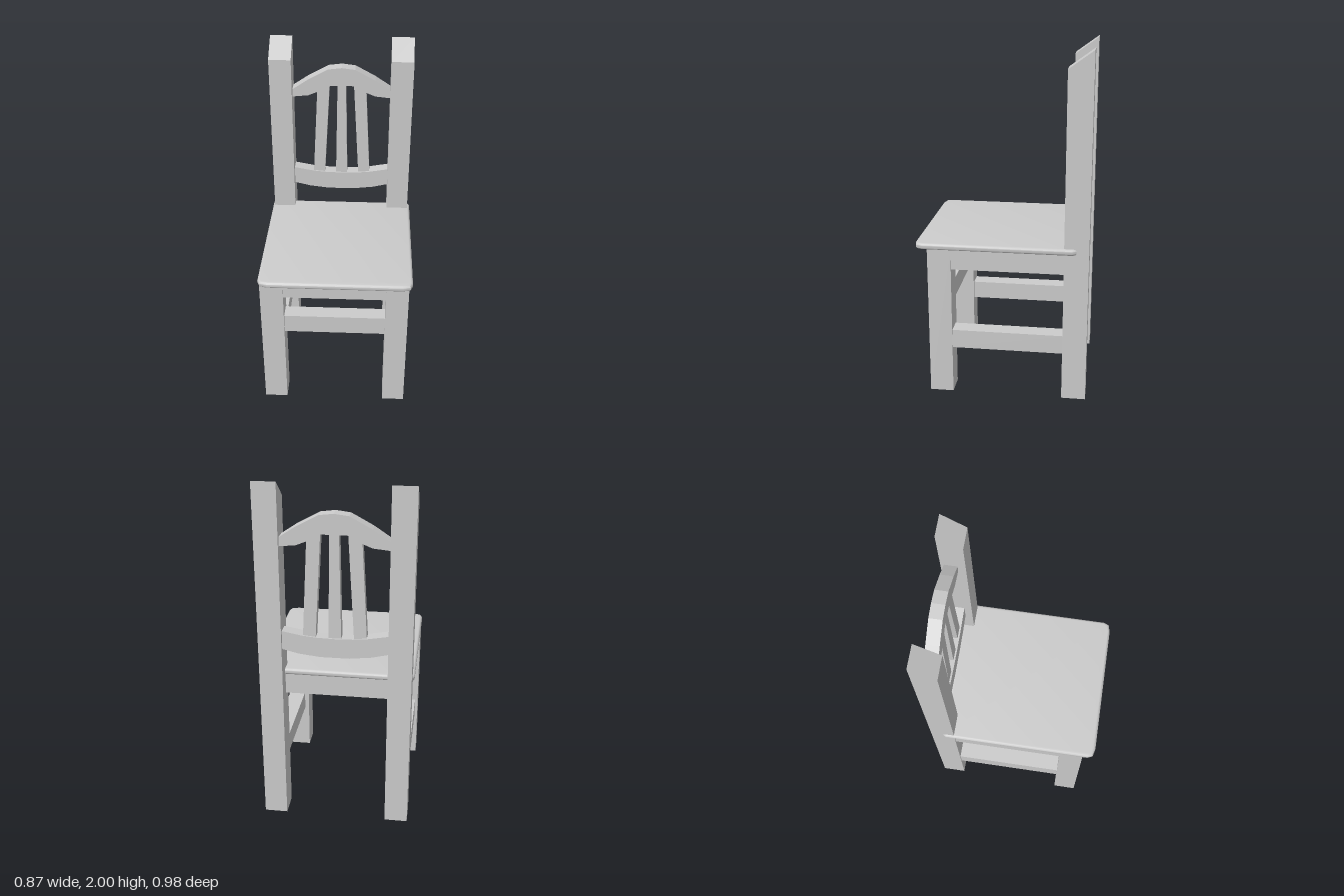
import * as THREE from 'three';
import { toCreasedNormals } from 'three/addons/utils/BufferGeometryUtils.js';

const material = new THREE.MeshStandardMaterial({ color: 0xcccccc, flatShading: true });
const smoothMaterial = new THREE.MeshStandardMaterial({ color: 0xcccccc });

export function createModel() {
  const chair = new THREE.Group();
  chair.name = 'chair';

  const add = (name, geometry, mat = material) => {
    const mesh = new THREE.Mesh(geometry, mat);
    mesh.name = name;
    chair.add(mesh);
    return mesh;
  };
  // Box given by its extents on each axis
  const box = (name, [x0, x1], [y0, y1], [z0, z1]) =>
    add(name, new THREE.BoxGeometry(x1 - x0, y1 - y0, z1 - z0))
      .position.set((x0 + x1) / 2, (y0 + y1) / 2, (z0 + z1) / 2);
  const outline = (points) => new THREE.Shape(points.map(([x, y]) => new THREE.Vector2(x, y)));
  // Outline in the xy plane, given depth from z0 to z1
  const board = (name, points, z0, z1) =>
    add(name, new THREE.ExtrudeGeometry(outline(points), { depth: z1 - z0, bevelEnabled: false }))
      .position.z = z0;
  // Completes a left-to-centre run of points with its mirror image
  const mirror = (half) => [...half, ...half.filter(([x]) => x !== 0).reverse().map(([x, y]) => [-x, y])];

  // Back posts with slanted tops, profile drawn as (-z, y)
  const postProfile = outline([[0.352, 0], [0.49, 0], [0.49, 2], [0.352, 1.9]]);
  for (const [side, x] of [['left', 0.29], ['right', -0.425]]) {
    const geometry = new THREE.ExtrudeGeometry(postProfile, { depth: 0.131, bevelEnabled: false });
    geometry.rotateY(Math.PI / 2);
    add(`${side}BackPost`, geometry).position.x = x;
  }

  // Front legs
  box('leftFrontLeg', [0.29, 0.42], [0, 0.89], [0.285, 0.42]);
  box('rightFrontLeg', [-0.434, -0.3], [0, 0.89], [0.285, 0.42]);

  // Solid apron under the seat
  box('apron', [-0.418, 0.413], [0.765, 0.888], [-0.41, 0.412]);

  // Stretchers
  box('frontStretcher', [-0.31, 0.3], [0.505, 0.62], [0.31, 0.4]);
  box('leftStretcher', [0.315, 0.413], [0.28, 0.39], [-0.36, 0.295]);
  box('rightStretcher', [-0.418, -0.32], [0.28, 0.39], [-0.36, 0.295]);

  // Seat: clipped corners and a rounded rim
  const seatOutline = mirror([
    [-0.38, -0.49], [-0.424, -0.479], [-0.437, -0.448],
    [-0.437, 0.4], [-0.424, 0.421],
  ]);
  const bevel = 0.015;
  const seat = new THREE.ExtrudeGeometry(outline(seatOutline), {
    depth: 0.036 - 2 * bevel,
    bevelThickness: bevel, bevelSize: bevel, bevelOffset: -bevel, bevelSegments: 4,
  });
  seat.rotateX(-Math.PI / 2);
  add('seat', toCreasedNormals(seat, 0.6), smoothMaterial).position.y = 0.884 + bevel;

  // Curved back rails
  const railZ = [-0.47, -0.396];
  board('topRail', [
    ...mirror([[-0.297, 1.7], [-0.2, 1.765], [-0.08, 1.83], [0, 1.84]]),
    ...mirror([[-0.297, 1.655], [-0.2, 1.665], [-0.14, 1.69], [-0.07, 1.728]]).reverse(),
  ], ...railZ);
  board('lowerRail', [
    ...mirror([[-0.297, 1.175], [-0.175, 1.153], [-0.1, 1.146], [0, 1.143]]),
    ...mirror([[-0.297, 1.068], [-0.2, 1.045], [-0.08, 1.031]]).reverse(),
  ], ...railZ);

  // Fanned slats, as [bottom x0, x1, top x0, x1]
  const slats = {
    rightSlat: [-0.175, -0.105, -0.145, -0.073],
    middleSlat: [-0.035, 0.035, -0.025, 0.025],
    leftSlat: [0.105, 0.175, 0.073, 0.145],
  };
  for (const [name, [a, b, c, d]] of Object.entries(slats)) {
    const lift = name === 'middleSlat' ? 0 : 0.02;
    board(name, [[a, 1.14], [b, 1.14], [d, 1.745 - lift], [c, 1.745 - lift]], -0.46, -0.406);
  }

  return chair;
}
